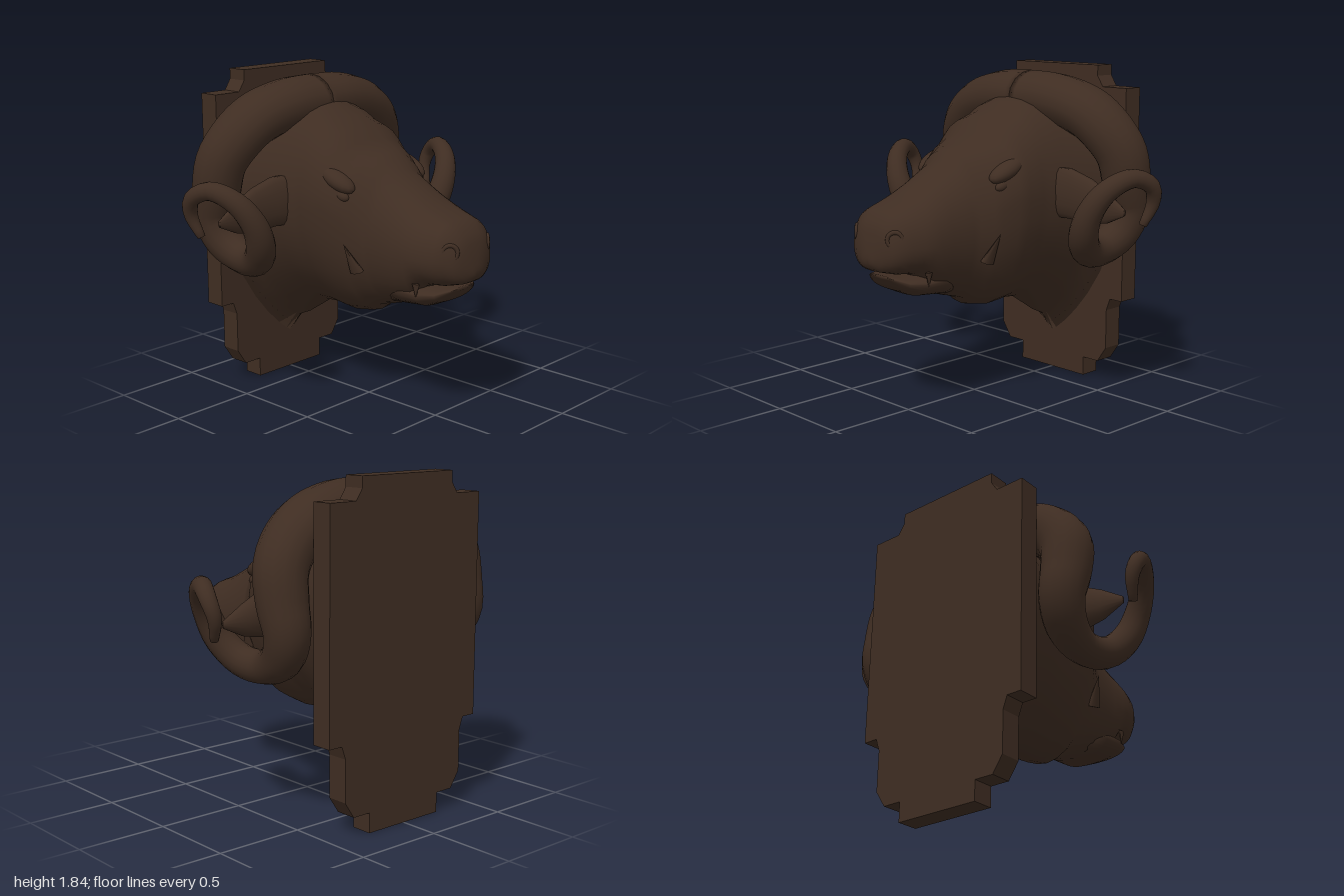
import * as THREE from 'three';

const brown = new THREE.MeshStandardMaterial({ color: 0x3f2d22 });
brown.name = 'dark brown';

function mesh(name, geo) {
  const m = new THREE.Mesh(geo, brown);
  m.name = name;
  return m;
}

// Skin over a list of rings (each counter-clockwise around the path), closed at both ends
function loft(rings) {
  const n = rings[0].length, pos = [], idx = [];
  rings.forEach(r => r.forEach(p => pos.push(p.x, p.y, p.z)));
  for (let i = 0; i < rings.length - 1; i++) for (let j = 0; j < n; j++) {
    const a = i * n + j, b = i * n + (j + 1) % n;
    idx.push(a, b, b + n, a, b + n, a + n);
  }
  [rings[0], rings[rings.length - 1]].forEach((r, end) => {
    const c = r.reduce((s, p) => s.add(p), new THREE.Vector3()).divideScalar(n);
    const base = pos.length / 3, off = end * (rings.length - 1) * n;
    pos.push(c.x, c.y, c.z);
    for (let j = 0; j < n; j++) {
      const a = off + j, b = off + (j + 1) % n;
      if (end) idx.push(base, a, b); else idx.push(base, b, a);
    }
  });
  const g = new THREE.BufferGeometry();
  g.setAttribute('position', new THREE.Float32BufferAttribute(pos, 3));
  g.setIndex(idx);
  g.computeVertexNormals();
  return g;
}

// Cross-section: x, top, bottom, half width, height of widest point, upper and lower taper
function section([x, top, bot, w, mid, pTop, pBot]) {
  return Array.from({ length: 32 }, (_, j) => {
    const a = j / 32 * Math.PI * 2, c = Math.cos(a), s = Math.sin(a);
    const p = c > 0 ? pTop : pBot;
    return new THREE.Vector3(x, mid + c * (c > 0 ? top - mid : mid - bot),
      w * Math.sign(s) * Math.pow(Math.abs(s), p));
  });
}

// Tapered tube; points are x, y, z, radius, stretch along x
function horn(side) {
  const pts = [
    [-0.45, 1.655, 0, 0.153, 1.2], [-0.45, 1.65, 0.2, 0.148, 1.2], [-0.47, 1.595, 0.41, 0.143, 1.2],
    [-0.49, 1.5, 0.54, 0.143, 1.1], [-0.52, 1.38, 0.62, 0.142, 1], [-0.55, 1.22, 0.635, 0.135, 1],
    [-0.58, 1.06, 0.63, 0.12, 1], [-0.51, 0.93, 0.61, 0.11, 1], [-0.37, 0.865, 0.61, 0.09, 1],
    [-0.22, 0.885, 0.645, 0.085, 1], [-0.12, 0.99, 0.705, 0.08, 1], [-0.1, 1.12, 0.765, 0.07, 1],
    [-0.15, 1.24, 0.84, 0.06, 1], [-0.27, 1.3, 0.915, 0.05, 1], [-0.37, 1.25, 0.955, 0.044, 1],
    [-0.4, 1.16, 0.94, 0.038, 1], [-0.355, 1.04, 0.91, 0.022, 1]];
  const curve = new THREE.CatmullRomCurve3(pts.map(p => new THREE.Vector3(p[0], p[1], side * p[2])));
  const steps = 64, f = curve.computeFrenetFrames(steps), last = pts.length - 1;
  const rings = [];
  for (let i = 0; i <= steps; i++) {
    const t = curve.getUtoTmapping(i / steps), k = Math.min(last - 1, Math.floor(t * last));
    const mix = q => THREE.MathUtils.lerp(pts[k][q], pts[k + 1][q], t * last - k);
    const r = mix(3), sx = mix(4), c = curve.getPoint(t);
    rings.push(Array.from({ length: 16 }, (_, j) => {
      const a = j / 16 * Math.PI * 2;
      const o = f.normals[i].clone().multiplyScalar(r * Math.cos(a)).addScaledVector(f.binormals[i], r * Math.sin(a));
      o.x *= sx;
      return i ? o.add(c) : o.add(c).setZ(0);
    }));
  }
  return loft(rings);
}

// Leaf-shaped ear, flatter on its front face; rows are x, y, z, half height, half thickness
function ear(side) {
  const rows = [[-0.25, 1.17, 0.33, 0.14, 0.08], [-0.3, 1.16, 0.45, 0.14, 0.08], [-0.315, 1.13, 0.58, 0.125, 0.075],
    [-0.315, 1.11, 0.7, 0.085, 0.055], [-0.31, 1.1, 0.82, 0.02, 0.015]];
  return loft(rows.map(([x, y, z, h, d]) => Array.from({ length: 14 }, (_, j) => {
    const a = j / 14 * Math.PI * 2 * side, c = Math.cos(a);
    return new THREE.Vector3(x + d * c * (c > 0 ? 0.6 : 1), y + h * Math.sin(a), side * z);
  })));
}

function blob(name, x, y, z, sx, sy, sz, rotZ) {
  const m = mesh(name, new THREE.SphereGeometry(1, 16, 12));
  m.position.set(x, y, z);
  m.scale.set(sx, sy, sz);
  m.rotation.z = rotZ;
  return m;
}

export function createModel() {
  const model = new THREE.Group();
  model.name = 'mountedHead';

  // Wall plaque
  const half = [[0.25, 0], [0.25, 0.11], [0.36, 0.11], [0.42, 0.2], [0.42, 0.43], [0.445, 0.5], [0.53, 0.5],
    [0.53, 1.72], [0.36, 1.72], [0.32, 1.78], [0.32, 1.84]];
  const outline = [...half, ...half.map(([z, y]) => [-z, y]).reverse()].map(p => new THREE.Vector2(...p));
  const plaque = mesh('plaque', new THREE.ExtrudeGeometry(new THREE.Shape(outline), { depth: 0.12, bevelEnabled: false }));
  plaque.rotation.y = Math.PI / 2;
  plaque.position.x = -0.78;
  model.add(plaque);

  // Neck, skull and muzzle
  model.add(mesh('head', loft([
    [-0.67, 1.68, 0.22, 0.5, 1.15, 1, 1.75],
    [-0.57, 1.7, 0.35, 0.48, 1.15, 1, 1.75],
    [-0.48, 1.7, 0.39, 0.45, 1.15, 1, 1.7],
    [-0.31, 1.68, 0.5, 0.42, 1.15, 0.9, 1.5],
    [-0.2, 1.64, 0.51, 0.395, 1.15, 0.8, 1.35],
    [-0.15, 1.6, 0.505, 0.39, 1.15, 0.75, 1.3],
    [-0.05, 1.565, 0.5, 0.39, 1.15, 0.75, 1.2],
    [0.01, 1.485, 0.51, 0.375, 1.15, 0.75, 1.1],
    [0.1, 1.445, 0.53, 0.335, 1.1, 0.75, 1],
    [0.14, 1.43, 0.57, 0.31, 1.05, 0.8, 0.95],
    [0.21, 1.4, 0.595, 0.275, 1.0, 0.85, 0.9],
    [0.25, 1.35, 0.605, 0.265, 0.97, 0.9, 0.85],
    [0.4, 1.26, 0.65, 0.265, 0.95, 0.9, 0.8],
    [0.48, 1.215, 0.68, 0.265, 0.95, 0.85, 0.75],
    [0.53, 1.19, 0.77, 0.26, 0.95, 0.8, 0.65],
    [0.58, 1.17, 0.79, 0.25, 0.95, 0.75, 0.6],
    [0.65, 1.145, 0.795, 0.225, 0.95, 0.65, 0.6],
    [0.69, 1.13, 0.805, 0.2, 0.95, 0.65, 0.6],
    [0.73, 1.08, 0.815, 0.16, 0.93, 0.65, 0.6],
    [0.755, 1.03, 0.83, 0.11, 0.92, 0.7, 0.7],
    [0.77, 0.92, 0.86, 0.04, 0.89, 1, 1]].map(section))));

  // Lower jaw and lip
  model.add(mesh('lowerJaw', loft([
    [0.3, 0.8, 0.63, 0.18, 0.73, 0.6, 0.8],
    [0.4, 0.79, 0.645, 0.205, 0.74, 0.6, 0.8],
    [0.53, 0.78, 0.66, 0.21, 0.74, 0.6, 0.8],
    [0.62, 0.775, 0.7, 0.17, 0.75, 0.6, 0.8],
    [0.68, 0.785, 0.765, 0.09, 0.775, 0.7, 0.8]].map(section))));

  for (const side of [1, -1]) {
    const tag = side > 0 ? 'left' : 'right';
    model.add(mesh(tag + 'Horn', horn(side)));
    model.add(mesh(tag + 'Ear', ear(side)));
    // Brow, eye and nostril
    model.add(blob(tag + 'Brow', 0.03, 1.31, side * 0.285, 0.13, 0.05, 0.065, -0.4));
    model.add(blob(tag + 'Eye', 0.08, 1.23, side * 0.3, 0.05, 0.03, 0.03, -0.3));
    const nostril = mesh(tag + 'Nostril', new THREE.TorusGeometry(0.04, 0.012, 8, 20));
    nostril.position.set(0.71, 1.0, side * 0.155);
    nostril.rotation.y = Math.PI / 2 - side * 0.75;
    model.add(nostril);
    // Pointed tufts on the cheek and at the mouth corner
    const cheek = mesh(tag + 'CheekTuft', new THREE.ConeGeometry(0.05, 0.18, 8));
    cheek.position.set(0.15, 0.9, side * 0.31);
    cheek.rotation.set(side * 0.4, 0, 0.2);
    cheek.scale.z = 0.5;
    model.add(cheek);
    const lip = mesh(tag + 'LipTuft', new THREE.ConeGeometry(0.025, 0.08, 6));
    lip.position.set(0.53, 0.77, side * 0.21);
    lip.rotation.x = Math.PI;
    lip.scale.z = 0.5;
    model.add(lip);
  }
  return model;
}
